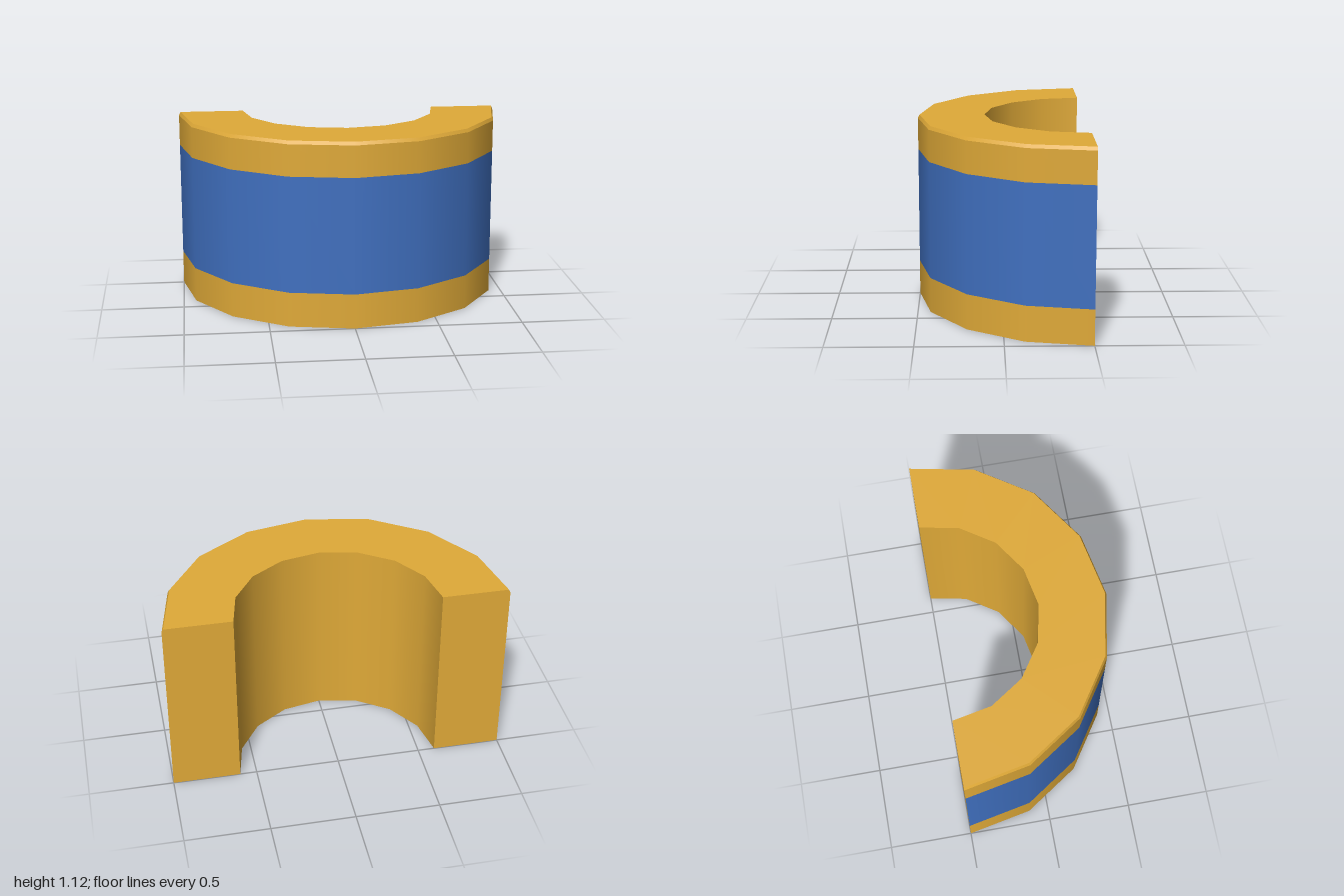
import * as THREE from 'three';
import { mergeGeometries } from 'three/addons/utils/BufferGeometryUtils.js';

const SEGMENTS = 8;
const OUTER = 1, INNER = 0.6, HEIGHT = 1.12, BEVEL_R = 0.99, BEVEL_Y = 1.1;
const BAND_LOW = 0.21, BAND_HIGH = 0.91;
const CENTRE_Z = -0.5;

// Half-turn sweep of one straight profile edge, so edges between strips stay sharp
function strip(r0, y0, r1, y1) {
  const points = [new THREE.Vector2(r0, y0), new THREE.Vector2(r1, y1)];
  return new THREE.LatheGeometry(points, SEGMENTS, -Math.PI / 2, Math.PI);
}

// Flat end of the half ring, facing back
function endCap(side) {
  const profile = [[INNER, 0], [OUTER, 0], [OUTER, BEVEL_Y], [BEVEL_R, HEIGHT], [INNER, HEIGHT]];
  const shape = new THREE.Shape(profile.map(([r, y]) => new THREE.Vector2(side * r, y)));
  return new THREE.ShapeGeometry(shape).rotateY(Math.PI);
}

export function createModel() {
  const group = new THREE.Group();
  const yellow = new THREE.MeshStandardMaterial({ color: 0xe0aa38 });
  const blue = new THREE.MeshStandardMaterial({ color: 0x4070c0 });

  const add = (name, geometry, material) => {
    const mesh = new THREE.Mesh(geometry, material);
    mesh.name = name;
    mesh.position.z = CENTRE_Z;
    group.add(mesh);
  };

  // Half-ring body: outer wall below and above the band, bevel, top, inner wall, bottom
  add('halfRingBody', mergeGeometries([
    strip(OUTER, 0, OUTER, BAND_LOW),
    strip(OUTER, BAND_HIGH, OUTER, BEVEL_Y),
    strip(OUTER, BEVEL_Y, BEVEL_R, HEIGHT),
    strip(BEVEL_R, HEIGHT, INNER, HEIGHT),
    strip(INNER, HEIGHT, INNER, 0),
    strip(INNER, 0, OUTER, 0),
  ]), yellow);

  // Coloured band, flush with the outer wall
  add('outerBand', strip(OUTER, BAND_LOW, OUTER, BAND_HIGH), blue);

  add('rightEnd', endCap(1), yellow);
  add('leftEnd', endCap(-1), yellow);

  return group;
}
